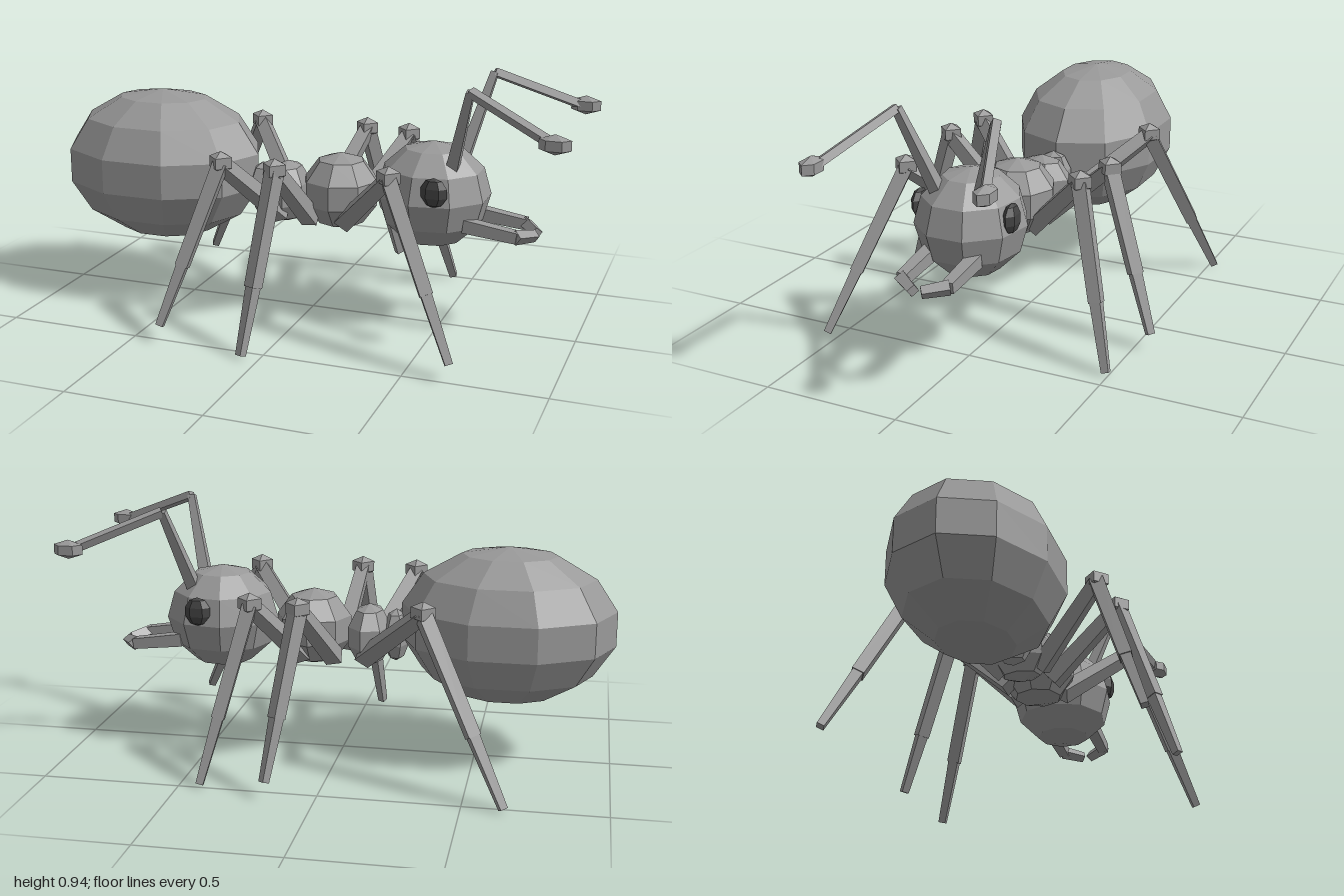
import * as THREE from 'three';

export function createModel() {
  const ant = new THREE.Group();
  ant.name = 'ant';
  const bodyGrey = new THREE.MeshStandardMaterial({ color: 0x999999, flatShading: true });
  bodyGrey.name = 'body grey';
  const eyeGrey = new THREE.MeshStandardMaterial({ color: 0x444444, flatShading: true });
  eyeGrey.name = 'eye dark grey';

  // Faceted ellipsoid with its pole upwards
  function blob(name, parent, center, radii, sides, rings, material = bodyGrey) {
    const mesh = new THREE.Mesh(new THREE.SphereGeometry(1, sides, rings), material);
    mesh.name = name;
    mesh.position.set(...center);
    mesh.scale.set(...radii);
    parent.add(mesh);
    return mesh;
  }

  // Four-sided tapering bar from a to b
  function bar(name, parent, a, b, r1, r2) {
    const start = new THREE.Vector3(...a);
    const end = new THREE.Vector3(...b);
    const dir = end.clone().sub(start);
    const geometry = new THREE.CylinderGeometry(r2, r1, dir.length(), 4, 1, false, Math.PI / 4);
    const mesh = new THREE.Mesh(geometry, bodyGrey);
    mesh.name = name;
    mesh.position.copy(start).add(end).multiplyScalar(0.5);
    mesh.quaternion.setFromUnitVectors(new THREE.Vector3(0, 1, 0), dir.normalize());
    parent.add(mesh);
  }

  // Body, from tail to head
  blob('abdomen', ant, [-0.61, 0.515, 0], [0.4, 0.289, 0.302], 10, 7);
  blob('rearWaist', ant, [-0.2, 0.455, 0], [0.05, 0.1, 0.075], 6, 5);
  blob('frontWaist', ant, [-0.1, 0.452, 0], [0.085, 0.118, 0.12], 7, 5);
  blob('thorax', ant, [0.11, 0.475, 0], [0.147, 0.145, 0.148], 8, 5);
  blob('head', ant, [0.461, 0.5, 0], [0.212, 0.195, 0.197], 9, 6);

  // Legs: hip, knee and foot, posed in mid-stride
  const legs = [
    ['leftRearLeg', [-0.1, 0.38, 0.07], [-0.23, 0.625, 0.32], [-0.395, 0.06, 0.51]],
    ['leftMiddleLeg', [0.02, 0.38, 0.08], [-0.015, 0.625, 0.345], [-0.065, 0.01, 0.55]],
    ['leftFrontLeg', [0.15, 0.38, 0.08], [0.385, 0.625, 0.305], [0.66, 0.06, 0.485]],
    ['rightRearLeg', [-0.09, 0.38, -0.07], [-0.34, 0.625, -0.335], [-0.645, 0.01, -0.52]],
    ['rightMiddleLeg', [0.02, 0.38, -0.08], [0.095, 0.625, -0.355], [0.175, 0.06, -0.555]],
    ['rightFrontLeg', [0.14, 0.38, -0.08], [0.275, 0.625, -0.32], [0.425, 0.01, -0.49]],
  ];
  for (const [name, hip, knee, foot] of legs) {
    const leg = new THREE.Group();
    leg.name = name;
    const ankle = knee.map((k, i) => k + (foot[i] - k) * 0.63);
    bar('thigh', leg, hip, knee, 0.042, 0.034);
    blob('knee', leg, [knee[0], 0.632, knee[2]], [0.05, 0.039, 0.05], 4, 3);
    bar('shin', leg, knee, ankle, 0.036, 0.032);
    bar('foot', leg, ankle, foot, 0.027, 0.019);
    ant.add(leg);
  }

  // Paired parts of the head
  for (const side of [1, -1]) {
    const label = side > 0 ? 'left' : 'right';
    blob(label + 'Eye', ant, [0.51, 0.553, side * 0.176], [0.05, 0.054, 0.026], 6, 5, eyeGrey);

    const antenna = new THREE.Group();
    antenna.name = label + 'Antenna';
    const elbow = [0.63, 0.92, side * 0.183];
    bar('antennaBase', antenna, [0.55, 0.62, side * 0.08], elbow, 0.03, 0.019);
    bar('antennaEnd', antenna, elbow, [0.93, 0.798, side * 0.3], 0.02, 0.02);
    blob('antennaTip', antenna, [0.943, 0.797, side * 0.308], [0.062, 0.035, 0.038], 6, 3);
    ant.add(antenna);

    const jaw = new THREE.Group();
    jaw.name = label + 'Jaw';
    bar('jawBase', jaw, [0.6, 0.42, side * 0.085], [0.79, 0.395, side * 0.085], 0.034, 0.028);
    bar('jawTip', jaw, [0.785, 0.395, side * 0.09], [0.84, 0.385, side * 0.015], 0.027, 0.022);
    ant.add(jaw);
  }

  return ant;
}
